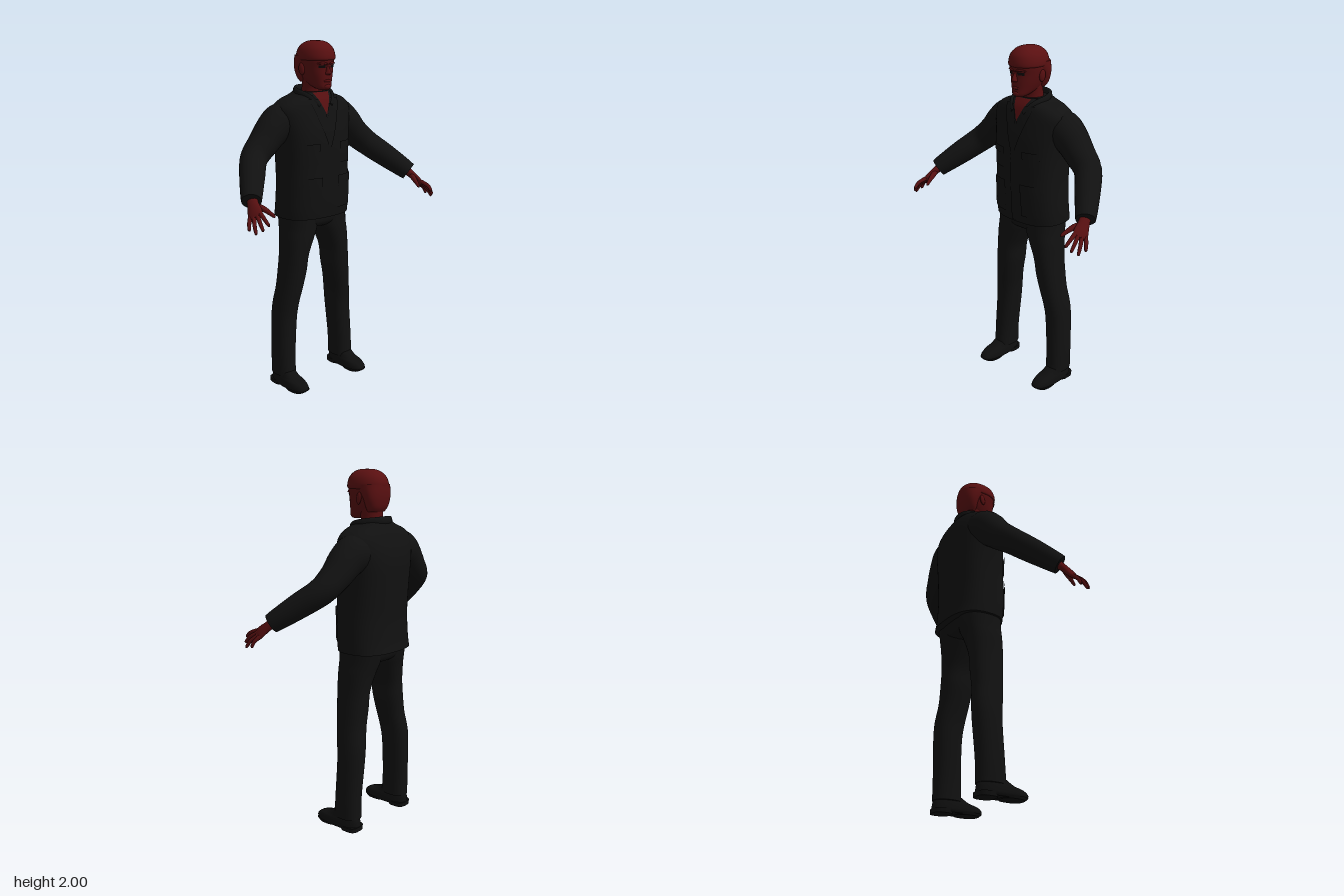
import * as THREE from 'three';

const mat = (name, color) => new THREE.MeshStandardMaterial({ name, color });
const V = (x, y, z) => new THREE.Vector3(x, y, z);

// Catmull-Rom resampling of rows of numbers
function smooth(rows, sub) {
  const out = [];
  const at = i => rows[Math.min(rows.length - 1, Math.max(0, i))];
  for (let i = 0; i < rows.length - 1; i++) {
    for (let k = 0; k < sub; k++) {
      const t = k / sub;
      out.push(rows[i].map((p1, c) => {
        const p2 = at(i + 1)[c], m1 = (p2 - at(i - 1)[c]) / 2, m2 = (at(i + 2)[c] - p1) / 2;
        return p1 + m1 * t + (3 * (p2 - p1) - 2 * m1 - m2) * t * t + (2 * (p1 - p2) + m1 + m2) * t * t * t;
      }));
    }
  }
  out.push(rows[rows.length - 1]);
  return out;
}

// Skin closed rings of points, with flat caps at both ends
function skin(rings) {
  const n = rings[0].length, pos = [], idx = [];
  rings.forEach(r => r.forEach(p => pos.push(p.x, p.y, p.z)));
  for (let i = 0; i < rings.length - 1; i++) {
    for (let j = 0; j < n; j++) {
      const a = i * n + j, b = i * n + (j + 1) % n;
      idx.push(a, a + n, b, b, a + n, b + n);
    }
  }
  [rings[0], rings[rings.length - 1]].forEach((r, end) => {
    const base = pos.length / 3, c = V(0, 0, 0);
    r.forEach(p => { pos.push(p.x, p.y, p.z); c.addScaledVector(p, 1 / n); });
    pos.push(c.x, c.y, c.z);
    for (let j = 0; j < n; j++) {
      const a = base + j, b = base + (j + 1) % n;
      if (end) idx.push(a, base + n, b); else idx.push(a, b, base + n);
    }
  });
  return finish(pos, idx);
}

function finish(pos, idx) {
  const g = new THREE.BufferGeometry();
  g.setAttribute('position', new THREE.Float32BufferAttribute(pos, 3));
  g.setIndex(idx);
  g.computeVertexNormals();
  return g;
}

const power = (v, n) => Math.sign(v) * Math.abs(v) ** (2 / n);

// Upright form: rows of [y, half width, front z, back z, centre x]
function upright(rows, n = 2.3, sides = 32, sub = 4) {
  return skin(smooth(rows, sub).map(([y, w, f, b, x = 0]) => Array.from({ length: sides }, (_, j) => {
    const a = j / sides * Math.PI * 2;
    return V(x + w * power(Math.cos(a), n), y, (f + b) / 2 + (f - b) / 2 * power(Math.sin(a), n));
  })));
}

// Swept form: rows of [x, y, z, radius along hint, other radius]
function limb(rows, hint, sides = 20, sub = 4) {
  const rs = smooth(rows, sub), P = rs.map(r => V(r[0], r[1], r[2]));
  return skin(rs.map((r, i) => {
    const t = P[Math.min(i + 1, P.length - 1)].clone().sub(P[Math.max(i - 1, 0)]).normalize();
    const u = hint.clone().addScaledVector(t, -hint.dot(t)).normalize();
    const v = u.clone().cross(t);
    return Array.from({ length: sides }, (_, j) => {
      const a = j / sides * Math.PI * 2;
      return P[i].clone().addScaledVector(u, r[3] * Math.cos(a)).addScaledVector(v, r[4] * Math.sin(a));
    });
  }));
}

// Thin panel laid over the front of an upright form, between x edges that depend on y
function drape(rows, n, y0, y1, left, right, offset, ny = 10, nx = 6) {
  const rs = smooth(rows, 4), pos = [], idx = [];
  const frontZ = (x, y) => {
    let i = 0;
    while (i < rs.length - 2 && rs[i + 1][0] < y) i++;
    const t = (y - rs[i][0]) / (rs[i + 1][0] - rs[i][0]);
    const [, w, f, b] = rs[i].map((v, c) => v + (rs[i + 1][c] - v) * t);
    return (f + b) / 2 + (f - b) / 2 * Math.max(0, 1 - Math.abs(x / w) ** n) ** (1 / n);
  };
  for (let i = 0; i <= ny; i++) {
    const y = y0 + (y1 - y0) * i / ny;
    for (let j = 0; j <= nx; j++) {
      const x = left(y) + (right(y) - left(y)) * j / nx;
      pos.push(x, y, frontZ(x, y) + offset);
      if (i < ny && j < nx) {
        const a = i * (nx + 1) + j, c = a + nx + 1;
        idx.push(a, a + 1, c, a + 1, c + 1, c);
      }
    }
  }
  return finish(pos, idx);
}

export function createModel() {
  const group = new THREE.Group();
  const skinMat = mat('dark red skin', 0x560f10), hairMat = mat('dark red hair', 0x5a1011);
  const cloth = mat('black cloth', 0x111111), leather = mat('black leather', 0x0e0e0e), eyeMat = mat('eye black', 0x0c0606);
  cloth.side = skinMat.side = eyeMat.side = THREE.DoubleSide;
  const add = (name, geo, m) => {
    const mesh = new THREE.Mesh(geo, m);
    mesh.name = name;
    group.add(mesh);
    return mesh;
  };

  // Jacket body
  const torso = [[1.02, .22, .035, -.28], [1.08, .22, .042, -.27], [1.2, .215, .048, -.265], [1.3, .213, .048, -.27],
    [1.4, .216, .048, -.276], [1.5, .226, .042, -.28], [1.58, .24, .025, -.27], [1.64, .24, .008, -.25],
    [1.68, .195, -.005, -.232], [1.705, .13, -.02, -.215], [1.725, .095, -.035, -.2]];
  add('jacketBody', upright(torso, 2.6, 48), cloth);
  add('openNeck', drape(torso, 2.6, 1.6, 1.722, y => -(y - 1.6) * .45, y => (y - 1.6) * .45, .004), skinMat);
  add('placket', drape(torso, 2.6, 1.03, 1.59, () => -.014, () => .014, .005, 20), cloth);
  add('collar', limb([[.04, 1.65, .01, .012, .008], [.085, 1.695, -.035, .024, .012], [.1, 1.715, -.11, .026, .013],
    [.06, 1.727, -.18, .024, .013], [0, 1.73, -.198, .024, .013], [-.06, 1.727, -.18, .024, .013],
    [-.1, 1.715, -.11, .026, .013], [-.085, 1.695, -.035, .024, .012], [-.04, 1.65, .01, .012, .008]], V(0, 1, 0)), cloth);

  // Hips
  add('hips', upright([[.945, .06, -.06, -.17], [.96, .14, -.02, -.21], [.99, .195, .005, -.232], [1.05, .205, .01, -.245]], 2.5), cloth);

  // Head, hair and neck
  const head = [[1.737, .026, .022, -.03], [1.75, .045, .033, -.07], [1.78, .063, .032, -.14], [1.82, .077, .032, -.172],
    [1.86, .086, .031, -.184], [1.9, .09, .037, -.186], [1.94, .085, .028, -.18], [1.97, .068, .005, -.16], [1.99, .03, -.03, -.11]];
  add('head', upright(head, 2.2), skinMat);
  add('neck', upright([[1.62, .08, -.03, -.19], [1.7, .064, -.042, -.17], [1.75, .06, -.04, -.163], [1.8, .062, -.02, -.165]], 2), skinMat);
  add('hairTop', upright([[1.897, .091, .036, -.187], [1.905, .096, .043, -.191], [1.93, .094, .041, -.191], [1.96, .083, .03, -.178],
    [1.985, .06, .005, -.15], [1.997, .033, -.025, -.118], [2, .005, -.062, -.08]], 2.2), hairMat);
  add('hairBack', upright([[1.775, .058, -.1, -.163], [1.8, .075, -.095, -.178], [1.84, .089, -.085, -.188],
    [1.88, .095, -.06, -.192], [1.92, .095, -.03, -.191]], 2.3), hairMat);
  add('nose', upright([[1.82, .012, .042, .01], [1.828, .018, .053, .01], [1.84, .013, .052, .01], [1.865, .008, .038, .01], [1.885, .01, .034, .01]], 2, 16), skinMat);
  add('lips', limb([[-.028, 1.785, .02, .003, .004], [0, 1.788, .034, .008, .006], [.028, 1.785, .02, .003, .004]], V(0, 1, 0), 12), skinMat);
  add('chin', new THREE.SphereGeometry(.02, 16, 12).scale(1.2, .8, .8).translate(0, 1.756, .023), skinMat);

  for (const s of [1, -1]) {
    const side = s > 0 ? 'left' : 'right';
    const mir = rows => rows.map(r => [r[0] * s, ...r.slice(1)]);
    const panel = (name, rows, n, y0, y1, inner, outer, off, m) => add(side + name, s > 0
      ? drape(rows, n, y0, y1, inner, outer, off)
      : drape(rows, n, y0, y1, y => -outer(y), y => -inner(y), off), m);

    // Face details
    panel('Eye', head, 2.2, 1.857, 1.872, () => .018, () => .054, .003, eyeMat);
    add(side + 'Brow', limb(mir([[.01, 1.878, .034, .005, .006], [.035, 1.884, .029, .006, .006], [.06, 1.879, .012, .004, .005]]), V(0, 1, 0), 10), skinMat);
    const ear = add(side + 'Ear', new THREE.SphereGeometry(1, 16, 12).scale(.01, .033, .019), skinMat);
    ear.position.set(.09 * s, 1.848, -.085);
    ear.rotation.set(-.15, s * -.3, 0);

    // Lapel and pockets
    panel('Lapel', torso, 2.6, 1.42, 1.69, y => Math.max(.004, (y - 1.6) * .45), y => .006 + (y - 1.42) * .36, .008, cloth);
    panel('ChestPocket', torso, 2.6, 1.33, 1.44, () => .075, () => .165, .005, cloth);
    panel('ChestFlap', torso, 2.6, 1.41, 1.45, () => .07, () => .17, .009, cloth);
    panel('LowerPocket', torso, 2.6, 1.07, 1.24, () => .06, () => .175, .006, cloth);
    panel('LowerFlap', torso, 2.6, 1.21, 1.26, () => .055, () => .18, .009, cloth);

    // Sleeve
    add(side + 'Sleeve', limb(mir([[.14, 1.575, -.14, .09, .095], [.2, 1.563, -.138, .104, .103], [.26, 1.525, -.133, .096, .096],
      [.33, 1.457, -.125, .083, .085], [.41, 1.388, -.1, .074, .075], [.485, 1.312, -.01, .068, .068],
      [.55, 1.243, .075, .058, .058], [.572, 1.218, .105, .053, .053]]), V(0, 1, 0), 24), cloth);

    // Hand: palm, four fingers and a thumb
    const spread = V(-.055 * s, .04, .1).normalize();
    add(side + 'Palm', limb(mir([[.562, 1.225, .095, .03, .025], [.578, 1.2, .128, .033, .02], [.593, 1.168, .165, .043, .017],
      [.602, 1.15, .185, .038, .011]]), spread, 16), skinMat);
    const tips = [[.59, 1.128, .28], [.615, 1.103, .264], [.638, 1.083, .235], [.645, 1.092, .185]];
    tips.forEach(([x, y, z], i) => {
      const base = V(.597 * s, 1.16, .174).addScaledVector(spread, .032 - i * .021);
      const tip = V(x * s, y, z), mid = base.clone().lerp(tip, .55).add(V(.005 * s, .006, .003)), end = base.clone().lerp(tip, .95);
      add(side + 'Finger', limb([[base, .012], [mid, .0105], [end, .008], [tip, .003]].map(([p, r]) => [p.x, p.y, p.z, r, r]), spread, 10), skinMat);
    });
    add(side + 'Thumb', limb(mir([[.572, 1.2, .13, .016, .016], [.55, 1.19, .17, .016, .015], [.535, 1.172, .208, .012, .011],
      [.526, 1.158, .232, .009, .008], [.523, 1.152, .24, .003, .003]]), V(0, 1, 0), 12), skinMat);

    // Trouser leg: [y, half width, front z, back z, centre x]
    add(side + 'TrouserLeg', upright([[.07, .06, -.032, -.195, .22], [.2, .062, -.04, -.195, .218], [.4, .066, -.045, -.205, .205],
      [.5, .066, -.035, -.205, .195], [.6, .068, -.02, -.193, .177], [.7, .072, -.008, -.193, .16], [.8, .073, 0, -.195, .148],
      [.9, .091, .006, -.21, .124], [.96, .1, .008, -.225, .108], [1.04, .1, .008, -.24, .105]].map(r => [...r.slice(0, 4), r[4] * s]), 2.3), cloth);

    // Shoe
    const shoe = rows => rows.map(r => [...r, .222 * s]);
    add(side + 'Shoe', upright(shoe([[.008, .05, .08, -.19], [.02, .057, .097, -.198], [.035, .057, .1, -.198],
      [.055, .053, .075, -.195], [.07, .048, .02, -.19], [.1, .044, -.035, -.185]]), 2.5), leather);
    add(side + 'Heel', upright(shoe([[0, .054, -.09, -.2], [.025, .056, -.09, -.2]]), 3, 32, 1), leather);
    add(side + 'Sole', upright(shoe([[.004, .052, .08, -.06], [.018, .058, .098, -.08]]), 2.5, 32, 1), leather);
  }
  return group;
}
